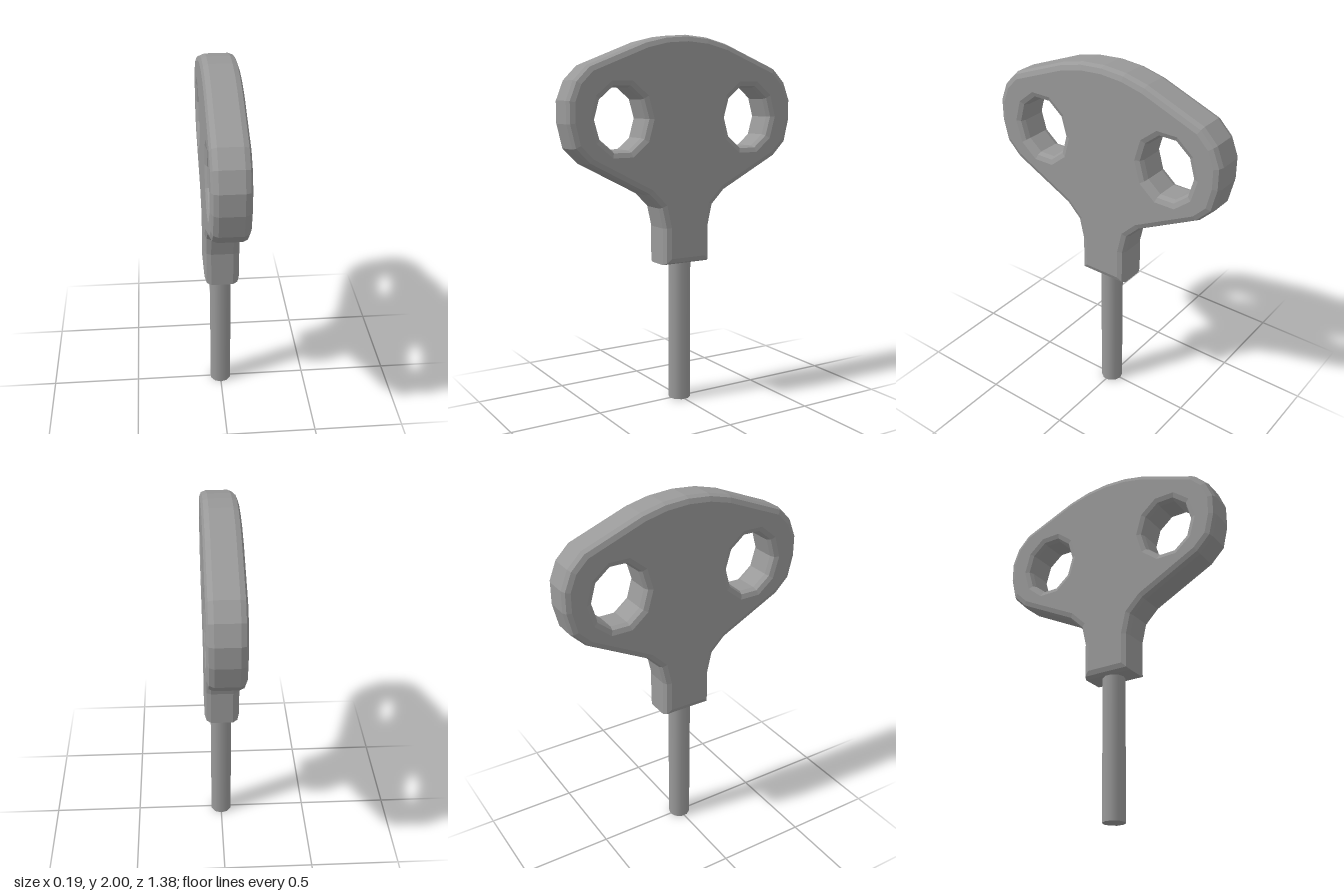
import * as THREE from 'three';

// Right half of the handle outline, top to bottom: [sideways, height]
const HALF_OUTLINE = [
  [0, 2], [0.13, 1.99], [0.255, 1.96], [0.575, 1.835], [0.65, 1.76],
  [0.69, 1.66], [0.69, 1.545], [0.66, 1.42], [0.58, 1.34], [0.24, 1.165],
  [0.165, 1.09], [0.14, 0.98], [0.14, 0.78],
];
const THICKNESS = 0.19;
const BEVEL = 0.035;

// Ten-sided finger hole
function fingerHole(cx, cy, rx, ry) {
  const points = [];
  for (let i = 0; i < 10; i++) {
    const a = (i / 10) * Math.PI * 2;
    points.push(new THREE.Vector2(cx + rx * Math.cos(a), cy + ry * Math.sin(a)));
  }
  return new THREE.Path(points);
}

export function createModel() {
  const group = new THREE.Group();
  group.name = 'key';

  const metal = new THREE.MeshStandardMaterial({ color: 0x999999 });
  metal.name = 'grey metal';

  // Flat handle: mirrored outline with two holes and rounded edges
  const mirrored = HALF_OUTLINE.slice(1).reverse().map(([x, y]) => [-x, y]);
  const outline = [...HALF_OUTLINE, ...mirrored].map(([x, y]) => new THREE.Vector2(x, y));
  const shape = new THREE.Shape(outline);
  for (const side of [-1, 1]) shape.holes.push(fingerHole(side * 0.392, 1.565, 0.148, 0.168));

  const handleGeometry = new THREE.ExtrudeGeometry(shape, {
    depth: THICKNESS - 2 * BEVEL,
    bevelEnabled: true,
    bevelThickness: BEVEL,
    bevelSize: BEVEL,
    bevelOffset: -BEVEL,
    bevelSegments: 2,
  });
  handleGeometry.translate(0, 0, BEVEL - THICKNESS / 2);
  handleGeometry.rotateY(Math.PI / 2);
  const handle = new THREE.Mesh(handleGeometry, metal);
  handle.name = 'handle';
  group.add(handle);

  // Round shaft, reaching slightly into the handle
  const shaft = new THREE.Mesh(new THREE.CylinderGeometry(0.061, 0.061, 0.82, 10), metal);
  shaft.name = 'shaft';
  shaft.position.y = 0.41;
  group.add(shaft);

  return group;
}
